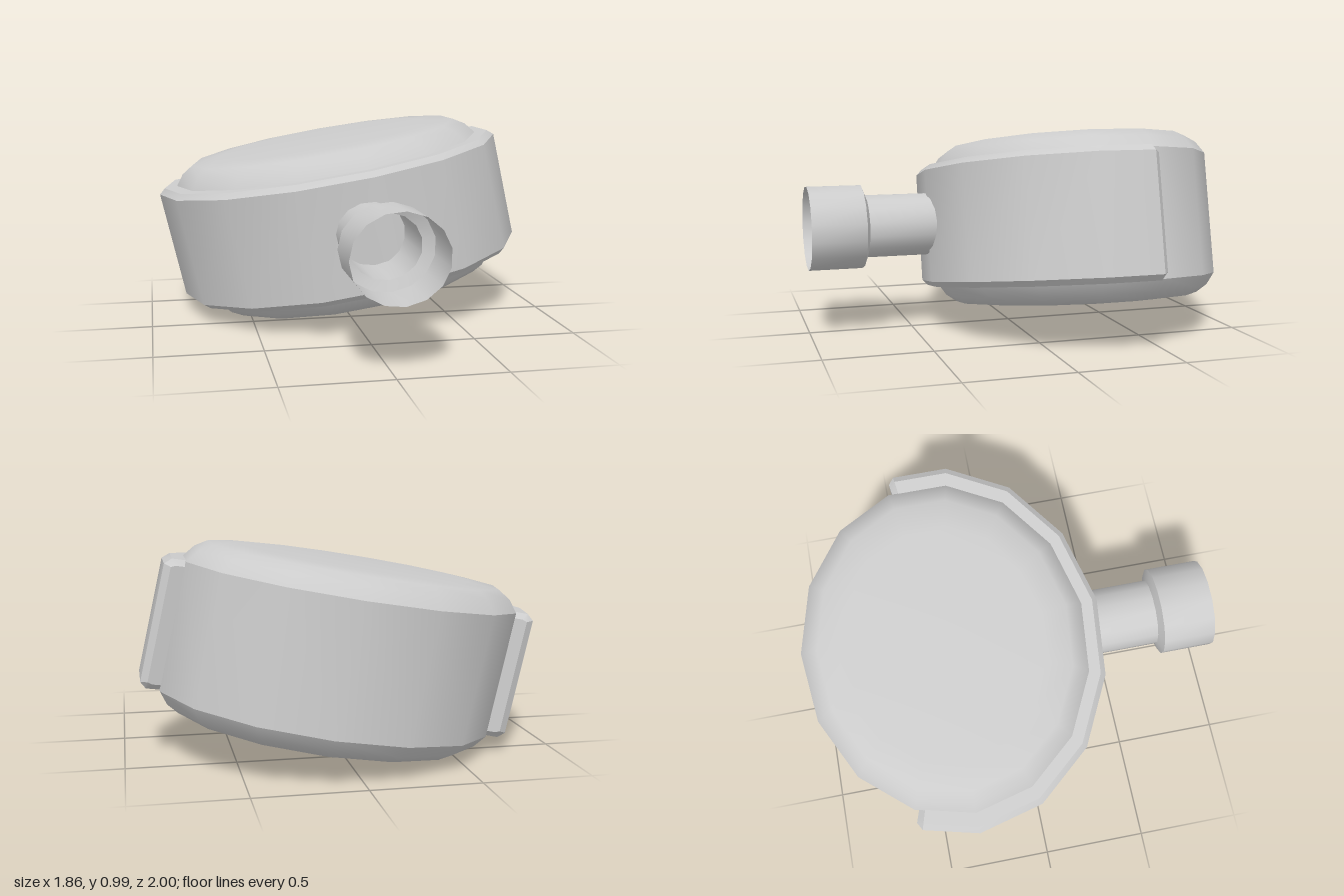
import * as THREE from 'three';
import { toCreasedNormals } from 'three/addons/utils/BufferGeometryUtils.js';

const SIDES = 15;
const CREASE = 0.55;

// Tilted, slightly stretched frame shared by the drum and its band:
// unit radius = outer band wall, unit half-height = band wall edge.
const tilt = new THREE.Matrix4().makeBasis(
  new THREE.Vector3(0.88, 0.15, 0),
  new THREE.Vector3(-0.06, 0.265, 0),
  new THREE.Vector3(0, 0, 0.76)
).setPosition(0, 0.505, -0.325);

function makeMesh(name, geometry, side = THREE.FrontSide) {
  const material = new THREE.MeshStandardMaterial({ color: 0xcccccc, side });
  const mesh = new THREE.Mesh(toCreasedNormals(geometry, CREASE), material);
  mesh.name = name;
  return mesh;
}

function lathe(points) {
  const profile = points.map(([r, h]) => new THREE.Vector2(r, h));
  return new THREE.LatheGeometry(profile, SIDES, -Math.PI / 2);
}

// Drum with rounded faces on both ends
function drumGeometry() {
  const upper = [[0.895, 1.09], [0.845, 1.3], [0.78, 1.43], [0.62, 1.475], [0, 1.48]];
  const lower = upper.map(([r, h]) => [r, -h]).reverse();
  return lathe([...lower, ...upper]).applyMatrix4(tilt);
}

// Point on the polygonal rim; s counts sides from the band's right end
function rimPoint(s) {
  const corner = (i) => {
    const a = THREE.MathUtils.degToRad(204 - 24 * i);
    return new THREE.Vector2(Math.cos(a), Math.sin(a));
  };
  return corner(Math.floor(s)).lerp(corner(Math.floor(s) + 1), s - Math.floor(s));
}

// Chamfered band wrapped around the front of the drum
function bandGeometry() {
  const body = [[0.87, -1.1], [0.965, -1.1], [1, -1], [1, 1], [0.965, 1.1], [0.87, 1.1]];
  const end = [[0.87, -1], [0.94, -1], [0.965, -0.97], [0.965, 0.97], [0.94, 1], [0.87, 1]];
  const stations = [0.07, 0.17, 1, 2, 3, 4, 5, 6, 7, 8, 8.83, 8.93];
  const n = body.length;
  const last = stations.length - 1;
  const positions = [];
  const index = [];
  stations.forEach((s, i) => {
    const p = rimPoint(s);
    const section = i === 0 || i === last ? end : body;
    for (const [r, h] of section) positions.push(p.x * r, h, p.y * r);
  });
  for (let i = 0; i < last; i++) {
    for (let k = 0; k < n; k++) {
      const a = i * n + k;
      const d = i * n + (k + 1) % n;
      index.push(a, a + n, d + n, a, d + n, d);
    }
  }
  // end faces
  for (let k = 1; k < n - 1; k++) {
    index.push(0, k, k + 1);
    index.push(last * n, last * n + k + 1, last * n + k);
  }
  const geometry = new THREE.BufferGeometry();
  geometry.setAttribute('position', new THREE.Float32BufferAttribute(positions, 3));
  geometry.setIndex(index);
  return geometry.applyMatrix4(tilt);
}

// Open pipe stub with a wider socket at its mouth, pointing forward
function pipeGeometry() {
  return lathe([[0.165, 0.33], [0.165, 0.725], [0.22, 0.745], [0.22, 1]])
    .rotateX(Math.PI / 2)
    .scale(1, 0.915, 1)
    .translate(0.015, 0.52, 0);
}

export function createModel() {
  const model = new THREE.Group();
  model.name = 'tiltedDrumWithPipe';
  model.add(
    makeMesh('drum', drumGeometry()),
    makeMesh('band', bandGeometry()),
    makeMesh('pipe', pipeGeometry(), THREE.DoubleSide)
  );
  return model;
}
